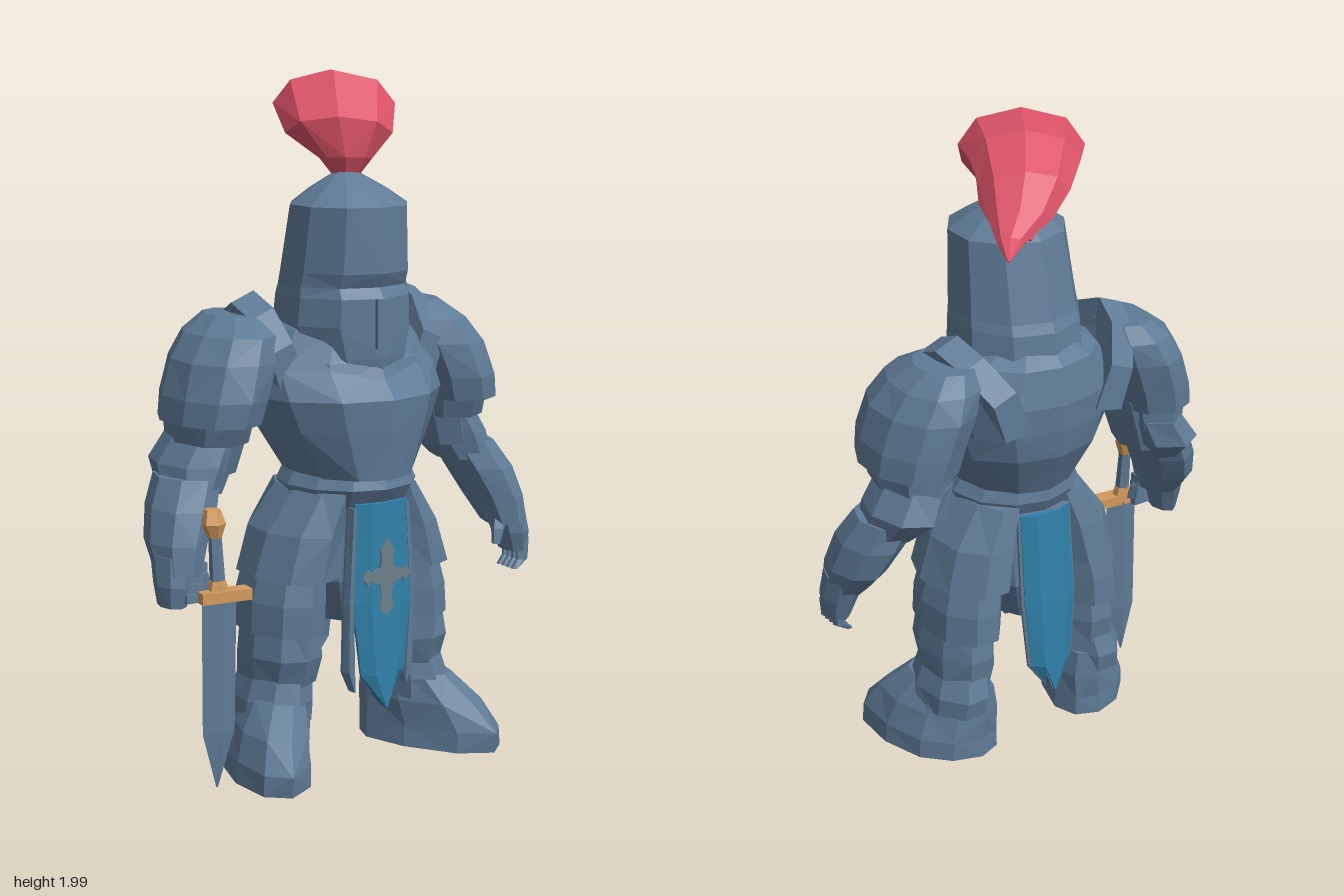
import * as THREE from 'three';

const material = (name, hex) => {
  const m = new THREE.MeshStandardMaterial({ color: hex });
  m.name = name;
  return m;
};

// Flat-shaded closed skin over a list of equal-length point rings, capped at both ends.
function skin(rings) {
  const n = rings[0].length, tris = [];
  const mid = (r) => r.reduce((a, p) => a.add(p), new THREE.Vector3()).divideScalar(n);
  for (let i = 0; i < rings.length - 1; i++) {
    for (let j = 0; j < n; j++) {
      const k = (j + 1) % n;
      const a = rings[i][j], b = rings[i][k], c = rings[i + 1][k], d = rings[i + 1][j];
      if ((i + j) % 2) tris.push([a, b, c], [a, c, d]);
      else tris.push([a, b, d], [b, c, d]);
    }
  }
  const first = rings[0], last = rings[rings.length - 1];
  const c0 = mid(first), c1 = mid(last);
  for (let j = 0; j < n; j++) {
    const k = (j + 1) % n;
    tris.push([c0, first[k], first[j]], [c1, last[j], last[k]]);
  }
  // Turn the faces outward whichever way the rings run
  const cross = new THREE.Vector3();
  const volume = tris.reduce((v, [a, b, c]) => v + a.dot(cross.crossVectors(b, c)), 0);
  const pos = tris.flatMap(([a, b, c]) => (volume < 0 ? [a, c, b] : [a, b, c]).flatMap((p) => p.toArray()));
  const g = new THREE.BufferGeometry();
  g.setAttribute('position', new THREE.Float32BufferAttribute(pos, 3));
  g.computeVertexNormals();
  return g;
}

// Level rings [x, y, z, rx, rz, front depth, skew]; s = -1 mirrors to the other side.
function loft(rows, sides = 10, s = 1, rough = 0.025) {
  return skin(rows.map(([x, y, z, rx, rz, front = rz, skew = 0]) =>
    Array.from({ length: sides }, (_, j) => {
      const a = (j / sides) * Math.PI * 2;
      const r = 1 + rough * Math.cos(3 * a) * Math.sin(y * 31);
      const dz = Math.cos(a) * r * (Math.cos(a) > 0 ? front : rz);
      return new THREE.Vector3(s * (x + Math.sin(a) * rx * r + skew * dz), y, z + dz);
    })));
}

// Thin hanging strip with folded-back edges; rows are [y, half width, z, x].
function banner(rows, dir = 1) {
  return skin(rows.map(([y, w, z, x = 0]) => {
    const front = [[-1, -0.022], [-0.5, 0], [0.5, 0], [1, -0.022]];
    const back = front.map(([u, d]) => [u, d - 0.008]).reverse();
    return [...front, ...back].map(([u, d]) => new THREE.Vector3(x + u * w, y, z + d * dir));
  }));
}

// Plume lock: rings [distance back, height, half width, half thickness, sideways shift].
function lock(rows) {
  const back = new THREE.Vector3(0.56, 0, -0.83), side = new THREE.Vector3(0.83, 0, 0.56);
  const up = new THREE.Vector3(0, 1, 0);
  const at = ([d, y, , , o = 0]) =>
    new THREE.Vector3(0, y, 0.1).addScaledVector(back, d).addScaledVector(side, o);
  return skin(rows.map((row, i) => {
    const p = rows[Math.max(i - 1, 0)], q = rows[Math.min(i + 1, rows.length - 1)];
    const len = Math.hypot(q[0] - p[0], q[1] - p[1]);
    const normal = back.clone().multiplyScalar(-(q[1] - p[1]) / len).addScaledVector(up, (q[0] - p[0]) / len);
    return Array.from({ length: 8 }, (_, j) => {
      const a = (j / 8) * Math.PI * 2;
      return at(row).addScaledVector(side, Math.cos(a) * row[2]).addScaledVector(normal, Math.sin(a) * row[3]);
    });
  }));
}

export function createModel() {
  const steel = material('steel', 0x5f7b96), red = material('plume red', 0xdd5368);
  const blue = material('cloth blue', 0x2f80a8), gold = material('gold', 0xd39a5c);
  const grey = material('emblem grey', 0x6f7f8c);
  const knight = new THREE.Group();
  knight.name = 'knight';
  const add = (name, geo, mat = steel, parent = knight) => {
    const m = new THREE.Mesh(geo, mat);
    m.name = name;
    parent.add(m);
    return m;
  };

  // Helmet with a shallow eye recess and a nose bar
  add('helmet', loft([
    [0, 1.12, 0.14, 0.09, 0.11, 0.145], [0, 1.2, 0.09, 0.17, 0.2], [0, 1.29, 0.075, 0.2, 0.215],
    [0, 1.37, 0.08, 0.194, 0.21], [0, 1.4, 0.085, 0.19, 0.2, 0.185], [0, 1.44, 0.09, 0.186, 0.195, 0.2],
    [0, 1.625, 0.115, 0.172, 0.175], [0, 1.665, 0.11, 0.115, 0.12], [0, 1.72, 0.1, 0.022, 0.022],
  ], 10, 1, 0));
  add('noseBar', new THREE.BoxGeometry(0.045, 0.14, 0.03)).position.set(0, 1.3, 0.28);

  // Plume, with two small locks below
  add('plume', lock([
    [0, 1.69, 0.028, 0.025], [0, 1.75, 0.075, 0.055], [0.015, 1.82, 0.152, 0.09, -0.02],
    [0.1, 1.9, 0.175, 0.1, -0.035], [0.23, 1.9, 0.15, 0.09, -0.045], [0.34, 1.855, 0.12, 0.07, -0.045],
    [0.42, 1.8, 0.085, 0.045, -0.03], [0.49, 1.758, 0.035, 0.022, -0.005], [0.575, 1.742, 0.004, 0.004],
  ]), red);
  for (const o of [-0.08, 0.03]) {
    add('plumeLock', lock([
      [0.06, 1.82, 0.03, 0.03, o * 0.4], [0.2, 1.85, 0.06, 0.05, o], [0.33, 1.81, 0.05, 0.035, o],
      [0.43, 1.745, 0.005, 0.005, o * 0.7],
    ]), red);
  }

  // Torso, gorget and pelvis
  add('breastplate', loft([
    [0, 0.86, 0.1, 0.175, 0.2, 0.23], [0, 1.0, 0.08, 0.26, 0.25, 0.26], [0, 1.09, 0.07, 0.3, 0.255, 0.275],
    [0, 1.17, 0.05, 0.3, 0.24, 0.225], [0, 1.28, 0.03, 0.22, 0.2], [0, 1.33, 0.03, 0.14, 0.14],
  ], 12, 1, 0));
  add('gorget', loft([
    [0, 1.13, 0.07, 0.24, 0.24, 0.235], [0, 1.19, 0.06, 0.25, 0.23, 0.22], [0, 1.24, 0.06, 0.19, 0.18],
  ], 10, 1, 0));
  add('waistBand', loft([
    [0, 0.77, 0.1, 0.18, 0.175], [0, 0.83, 0.1, 0.2, 0.205, 0.215], [0, 0.88, 0.1, 0.17, 0.2],
  ], 12, 1, 0));
  add('pelvis', loft([
    [0, 0.42, 0.07, 0.09, 0.12], [0, 0.55, 0.07, 0.16, 0.17], [0, 0.79, 0.09, 0.18, 0.18],
  ]));

  // Cloth banners: steel strips edge the front one, a steel lining backs the rear one
  add('frontCloth', banner([
    [0.19, 0.004, 0.318], [0.29, 0.075, 0.315], [0.5, 0.1, 0.31], [0.79, 0.09, 0.303],
  ]), blue);
  const rear = [[0.2, 0.004, -0.143], [0.29, 0.07, -0.14], [0.5, 0.088, -0.13], [0.79, 0.085, -0.105]];
  add('backCloth', banner(rear, -1), blue);
  add('backClothLining', banner(rear.map(([y, w, z]) => [y, w + 0.008, z + 0.006]), -1));
  for (const s of [1, -1]) {
    add('frontClothEdge', banner([
      [0.24, 0.003, 0.285, s * 0.09], [0.3, 0.02, 0.285, s * 0.1], [0.5, 0.014, 0.29, s * 0.105],
      [0.78, 0.01, 0.285, s * 0.09],
    ]));
  }
  const cross = new THREE.Shape();
  const half = [[0.024, 0.075], [0.018, 0.055], [0.024, 0.024], [0.055, 0.012], [0.062, 0.024], [0.085, 0],
    [0.062, -0.024], [0.055, -0.012], [0.024, -0.024], [0.016, -0.06], [0.024, -0.085]];
  [[0, 0.108], ...half, [0, -0.135], ...half.map(([x, y]) => [-x, y]).reverse()]
    .forEach(([x, y], i) => (i ? cross.lineTo(x, y) : cross.moveTo(x, y)));
  const emblem = add('clothEmblem', new THREE.ExtrudeGeometry(cross, { depth: 0.006, bevelEnabled: false }), grey);
  emblem.position.set(0, 0.58, 0.307);
  emblem.rotation.x = 0.02;

  // Limbs, mirrored
  for (const s of [1, -1]) {
    const leg = new THREE.Group(), arm = new THREE.Group();
    leg.name = s > 0 ? 'leftLeg' : 'rightLeg';
    arm.name = s > 0 ? 'leftArm' : 'rightArm';
    knight.add(leg, arm);
    const onLeg = (name, rows, sides = 9) => add(name, loft(rows, sides, s), steel, leg);
    const onArm = (name, rows, sides = 8) => add(name, loft(rows, sides, s), steel, arm);

    // Leg: overlapping plates down to a turned-out boot
    onLeg('upperTasset', [[0.19, 0.57, 0.075, 0.13, 0.195, 0.2], [0.16, 0.7, 0.08, 0.118, 0.19], [0.11, 0.82, 0.09, 0.08, 0.175]]);
    onLeg('lowerTasset', [[0.215, 0.41, 0.07, 0.112, 0.18], [0.21, 0.5, 0.07, 0.112, 0.178], [0.19, 0.62, 0.07, 0.1, 0.16]]);
    onLeg('kneePlate', [[0.22, 0.26, 0.08, 0.103, 0.155, 0.13], [0.22, 0.34, 0.085, 0.108, 0.17, 0.155], [0.215, 0.46, 0.08, 0.095, 0.15]]);
    onLeg('shinPlate', [[0.245, 0.15, 0.08, 0.105, 0.16, 0.14], [0.24, 0.21, 0.08, 0.104, 0.175, 0.145], [0.22, 0.32, 0.08, 0.088, 0.14, 0.12]]);
    onLeg('boot', [
      [0.265, 0, 0.08, 0.135, 0.15, 0.285, 0.31], [0.265, 0.06, 0.08, 0.13, 0.15, 0.285, 0.31],
      [0.25, 0.14, 0.08, 0.118, 0.15, 0.23, 0.3], [0.235, 0.22, 0.08, 0.09, 0.15, 0.15, 0.2],
    ], 10);

    // Shoulder: broad domed plate, lower lame and a curved neck guard
    onArm('pauldron', [
      [0.41, 1.03, 0.02, 0.13, 0.195], [0.395, 1.1, 0.02, 0.136, 0.205], [0.36, 1.2, 0.01, 0.14, 0.2],
      [0.33, 1.27, 0, 0.12, 0.175], [0.305, 1.32, -0.02, 0.08, 0.11],
    ], 10);
    onArm('shoulderLame', [[0.41, 0.97, 0, 0.1, 0.16], [0.405, 1.07, 0.015, 0.115, 0.18]]);
    add('neckGuard', skin([-1, -0.55, 0, 0.55, 1].map((t) => {
      const z = -0.005 + 0.175 * t, top = 1.38 - 0.13 * t * t, x = (t < 0 ? 0.08 : 0.02) * t * t;
      return [[0.19 - x, 1.12], [0.245 - x, top], [0.32 - x, top - 0.03], [0.28 - x, 1.1]]
        .map(([px, py]) => new THREE.Vector3(s * px, py, z));
    })), steel, arm);

    // Arm
    onArm('upperArm', [[0.42, 0.88, 0, 0.09, 0.11], [0.37, 1.06, 0, 0.1, 0.13]]);
    onArm('elbowPlate', [[0.475, 0.83, 0.02, 0.085, 0.11], [0.445, 0.91, -0.025, 0.108, 0.155], [0.405, 0.99, -0.02, 0.095, 0.14]]);
    onArm('forearm', [[0.57, 0.63, 0.115, 0.063, 0.08], [0.555, 0.71, 0.075, 0.08, 0.115], [0.52, 0.8, 0.045, 0.093, 0.125], [0.48, 0.88, 0.015, 0.09, 0.115]]);
    onArm('hand', [[0.598, 0.54, 0.125, 0.035, 0.055], [0.59, 0.6, 0.12, 0.05, 0.07], [0.575, 0.68, 0.1, 0.06, 0.08]]);
    for (let i = 0; i < 4; i++) {
      const z = 0.092 + i * 0.023;
      if (s > 0) onArm('finger', [[0.57, 0.49, z + 0.012, 0.012, 0.013], [0.602, 0.515, z + 0.006, 0.02, 0.015], [0.608, 0.58, z, 0.022, 0.015]], 5);
      else add('finger', new THREE.BoxGeometry(0.075, 0.025, 0.04), steel, arm).position.set(-0.545, 0.565 + i * 0.027, 0.165 - i * 0.005);
    }
    onArm('thumb', [[0.505, 0.575, 0.165, 0.014, 0.016], [0.52, 0.62, 0.155, 0.022, 0.022], [0.555, 0.68, 0.12, 0.025, 0.025]], 5);
  }

  // Sword in the right hand
  const sword = new THREE.Group();
  sword.name = 'sword';
  knight.add(sword);
  add('blade', loft([
    [-0.495, 0.01, 0.19, 0.003, 0.003], [-0.488, 0.17, 0.19, 0.052, 0.016], [-0.483, 0.56, 0.19, 0.056, 0.017],
  ], 4, 1, 0), steel, sword);
  const guard = add('crossGuard', new THREE.BoxGeometry(0.15, 0.032, 0.05), gold, sword);
  guard.position.set(-0.473, 0.567, 0.2);
  guard.rotation.y = -0.12;
  add('gripCollar', loft([[-0.488, 0.58, 0.19, 0.032, 0.026], [-0.488, 0.61, 0.19, 0.024, 0.022]], 6), gold, sword);
  add('grip', loft([[-0.488, 0.6, 0.19, 0.022, 0.022], [-0.49, 0.75, 0.18, 0.018, 0.018]], 6), steel, sword);
  add('pommel', loft([
    [-0.49, 0.73, 0.18, 0.02, 0.02], [-0.495, 0.77, 0.18, 0.036, 0.034], [-0.495, 0.81, 0.175, 0.024, 0.022],
  ], 6), gold, sword);

  return knight;
}
